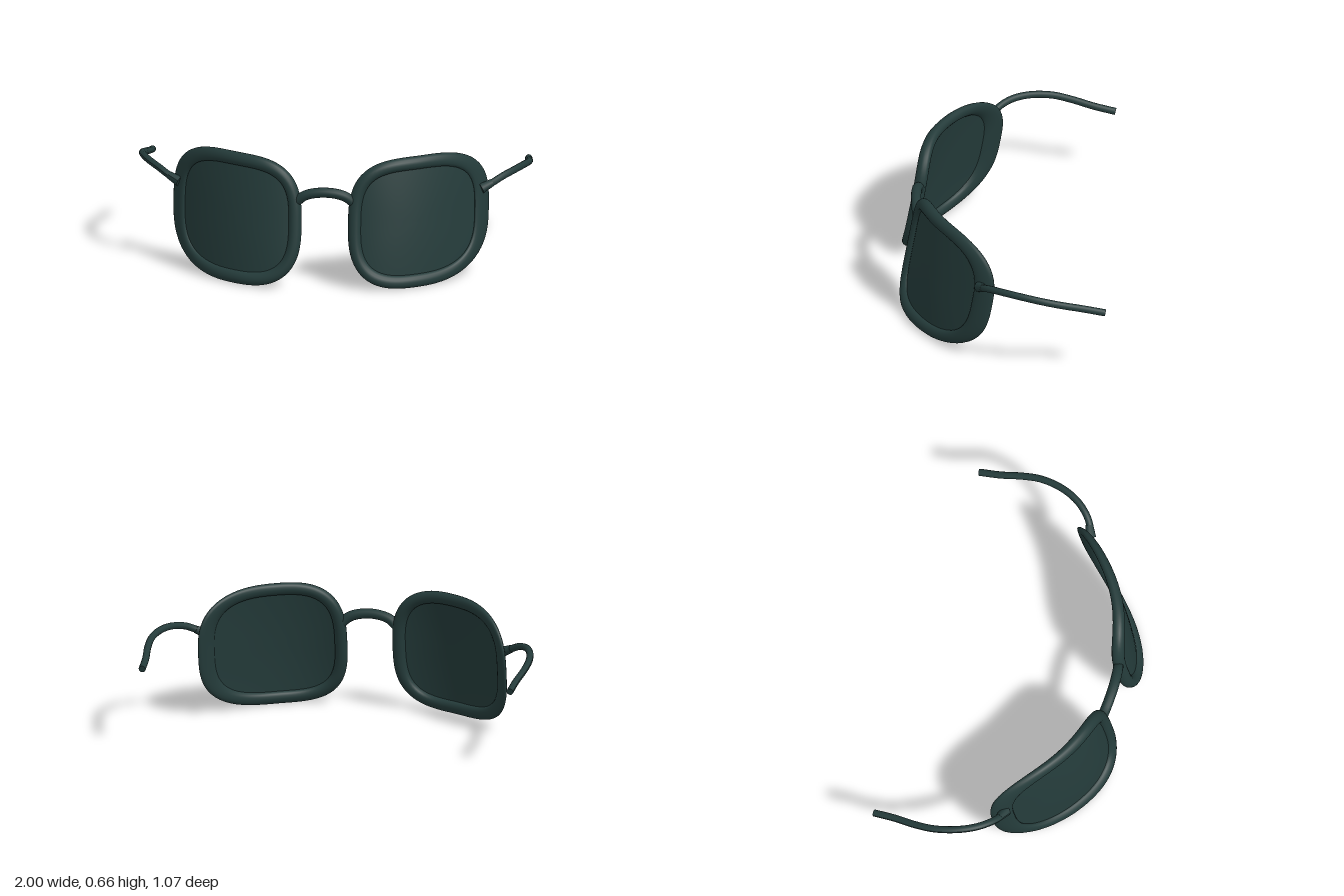
import * as THREE from 'three';

const CX = 0.46, CY = 0.33, HALF_W = 0.309, HALF_H = 0.297, POWER = 3;

// Wrap-around curve and backward tilt shared by rims and lenses
function wrapZ(x, y) {
  const u = (x - CX) / 0.31;
  return 0.387 - 0.18 * u - 0.1 * u * u - 0.17 * (y - CY);
}

// Point and outward normal on the rounded-square eye outline
function outline(angle) {
  const c = Math.cos(angle), s = Math.sin(angle);
  const r = Math.pow(Math.abs(c / HALF_W) ** POWER + Math.abs(s / HALF_H) ** POWER, -1 / POWER);
  const p = new THREE.Vector2(r * c, r * s);
  const n = new THREE.Vector2(
    Math.sign(c) * Math.abs(p.x / HALF_W) ** (POWER - 1) / HALF_W,
    Math.sign(s) * Math.abs(p.y / HALF_H) ** (POWER - 1) / HALF_H).normalize();
  return { p, n };
}

// Grid surface from a rule (i, j) -> [x, y, z]; columns close into a loop
function gridSurface(cols, rows, rule, closeRows) {
  const pos = [], index = [];
  const total = closeRows ? rows : rows + 1;
  for (let i = 0; i < cols; i++)
    for (let j = 0; j < total; j++) pos.push(...rule(i / cols, j / rows));
  for (let i = 0; i < cols; i++)
    for (let j = 0; j < rows; j++) {
      const i2 = (i + 1) % cols, j2 = (j + 1) % total;
      const a = i * total + j, b = i2 * total + j, c = i2 * total + j2, d = i * total + j2;
      index.push(a, b, c, a, c, d);
    }
  const g = new THREE.BufferGeometry();
  g.setAttribute('position', new THREE.Float32BufferAttribute(pos, 3));
  g.setIndex(index);
  g.computeVertexNormals();
  return g;
}

// Copy of a geometry reflected across x = 0, with corner order restored
function mirrored(geometry) {
  const g = geometry.clone();
  g.scale(-1, 1, 1);
  const ix = g.index;
  for (let k = 0; k < ix.count; k += 3) {
    const b = ix.getX(k + 1);
    ix.setX(k + 1, ix.getX(k + 2));
    ix.setX(k + 2, b);
  }
  g.computeVertexNormals();
  return g;
}

const curveThrough = (points) =>
  new THREE.CatmullRomCurve3(points.map((p) => new THREE.Vector3(...p)));

export function createModel() {
  const model = new THREE.Group();
  model.name = 'glasses';
  const green = new THREE.MeshStandardMaterial({ color: 0x243b3a, side: THREE.DoubleSide });
  green.name = 'dark green';

  const add = (name, geometry) => {
    const mesh = new THREE.Mesh(geometry, green);
    mesh.name = name;
    model.add(mesh);
  };
  const addPair = (name, geometry) => {
    add('left' + name, geometry);
    add('right' + name, mirrored(geometry));
  };

  // Rims: round section swept around the outline, bent by the wrap curve
  addPair('Rim', gridSurface(96, 16, (i, j) => {
    const { p, n } = outline(i * Math.PI * 2);
    const t = j * Math.PI * 2;
    const x = CX + p.x + n.x * 0.033 * Math.cos(t);
    const y = CY + p.y + n.y * 0.033 * Math.cos(t);
    return [x, y, wrapZ(x, y) + 0.032 * Math.sin(t)];
  }, true));

  // Lenses: gently domed sheets reaching into the rims
  addPair('Lens', gridSurface(96, 14, (i, j) => {
    const { p } = outline(i * Math.PI * 2);
    const r = Math.max(1 - j, 0.001) * 0.98;
    const x = CX + p.x * r, y = CY + p.y * r;
    return [x, y, wrapZ(x, y) + 0.012 * (1 - r * r)];
  }, false).scale(1, 1, 1));

  // Arched bridge
  add('bridge', new THREE.TubeGeometry(curveThrough([
    [-0.16, 0.425, 0.445], [-0.1, 0.475, 0.457], [0, 0.494, 0.463],
    [0.1, 0.475, 0.457], [0.16, 0.425, 0.445]]), 32, 0.026, 12));

  // Temples: bow outward, then sweep back and down
  const temple = curveThrough([
    [0.785, 0.44, 0.115], [0.83, 0.462, 0.095], [0.87, 0.482, 0.063], [0.92, 0.496, 0],
    [0.96, 0.497, -0.09], [0.982, 0.483, -0.2], [0.979, 0.46, -0.3],
    [0.964, 0.432, -0.41], [0.957, 0.406, -0.522]]);
  addPair('Temple', new THREE.TubeGeometry(temple, 64, 0.018, 10));

  // Flat temple tips
  const tip = new THREE.CircleGeometry(0.018, 10);
  tip.applyQuaternion(new THREE.Quaternion().setFromUnitVectors(
    new THREE.Vector3(0, 0, 1), temple.getTangent(1)));
  tip.translate(...temple.getPoint(1).toArray());
  addPair('TempleTip', tip);

  // Hinge sleeves joining temples to rims
  const from = new THREE.Vector3(0.768, 0.432, 0.122), to = new THREE.Vector3(0.822, 0.458, 0.098);
  const sleeve = new THREE.CylinderGeometry(0.02, 0.027, from.distanceTo(to), 10);
  sleeve.applyQuaternion(new THREE.Quaternion().setFromUnitVectors(
    new THREE.Vector3(0, 1, 0), to.clone().sub(from).normalize()));
  sleeve.translate(...from.clone().add(to).multiplyScalar(0.5).toArray());
  addPair('Hinge', sleeve);

  return model;
}
